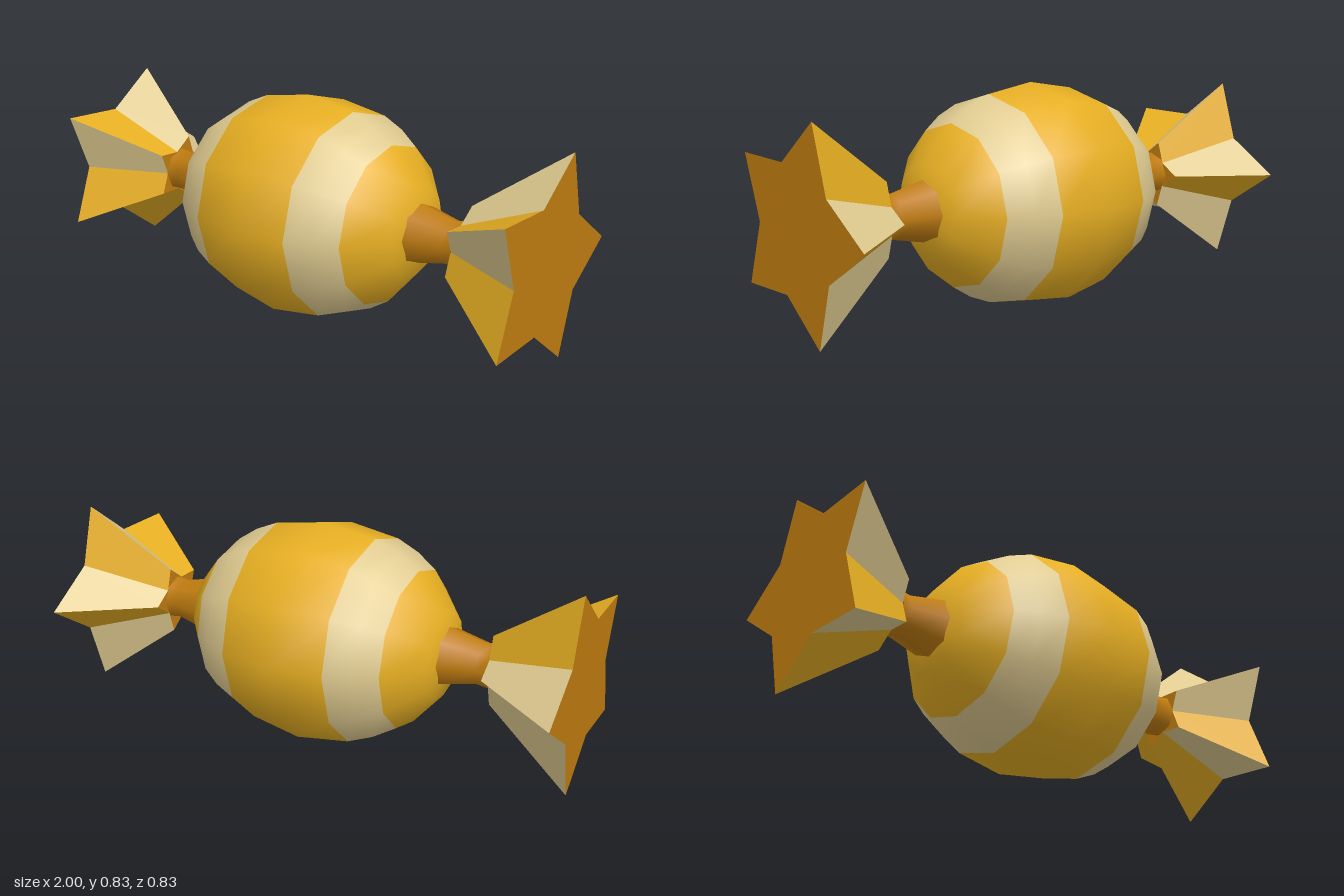
import * as THREE from 'three';

const R = 0.417; // body radius and height of the long axis

export function createModel() {
  const mat = (name, color) => Object.assign(new THREE.MeshStandardMaterial({ color }), { name });
  const gold = mat('gold', 0xe6ae22);
  const cream = mat('cream', 0xe0cb90);
  const amber = mat('amber', 0xc07c10);

  const candy = new THREE.Group();
  candy.name = 'wrappedCandy';
  candy.position.y = R;

  const add = (name, geometry, material) => {
    const mesh = new THREE.Mesh(geometry, material);
    mesh.name = name;
    candy.add(mesh);
  };

  // Body: a stretched sphere cut into five striped bands, pole to pole along x
  const bands = [
    ['leftEnd', 0, 2, gold],
    ['leftStripe', 2, 1, cream],
    ['middleBand', 3, 2, gold],
    ['rightStripe', 5, 1, cream],
    ['rightEnd', 6, 2, gold],
  ];
  for (const [name, start, count, material] of bands) {
    const step = Math.PI / 8;
    const g = new THREE.SphereGeometry(1, 12, count, 0, Math.PI * 2, start * step, count * step);
    g.rotateZ(-Math.PI / 2).scale(0.53, R, R);
    add(name, g, material);
  }

  for (const side of [1, -1]) {
    const label = side > 0 ? 'left' : 'right';

    // Twisted neck
    const profile = [[0.113, 0.49], [0.08, 0.635], [0.086, 0.68]].map(([r, h]) => new THREE.Vector2(r, h));
    add(label + 'Neck', new THREE.LatheGeometry(profile, 8).rotateZ(-side * Math.PI / 2), amber);

    // Pleated star-shaped wrapper end
    add(label + 'Fan', fanGeometry(side), [cream, gold, amber]);
  }

  const model = new THREE.Group();
  model.name = 'candy';
  model.add(candy);
  return model;
}

// Five-pointed flare; groups: 0 and 1 alternate around the pleats, 2 closes both ends
function fanGeometry(side) {
  const ring = (x, scale) => Array.from({ length: 10 }, (_, i) => {
    const t = i * Math.PI / 5;
    const r = (i % 2 ? 0.228 : 0.38) * scale;
    return [side * x, r * Math.sin(t), -r * Math.cos(t)];
  });
  const base = ring(0.68, 0.36);
  const tip = ring(1, 1);
  const faces = [[], [], []];
  const tri = (group, a, b, c) => faces[group].push(...a, ...(side > 0 ? b : c), ...(side > 0 ? c : b));

  for (let i = 0; i < 10; i++) {
    const j = (i + 1) % 10;
    tri(i % 2, base[i], base[j], tip[j]);
    tri(i % 2, base[i], tip[j], tip[i]);
    tri(2, [side, 0, 0], tip[i], tip[j]);
    tri(2, [side * 0.68, 0, 0], base[j], base[i]);
  }

  const g = new THREE.BufferGeometry();
  g.setAttribute('position', new THREE.Float32BufferAttribute(faces.flat(), 3));
  let start = 0;
  faces.forEach((f, i) => {
    g.addGroup(start, f.length / 3, i);
    start += f.length / 3;
  });
  g.computeVertexNormals();
  return g;
}
